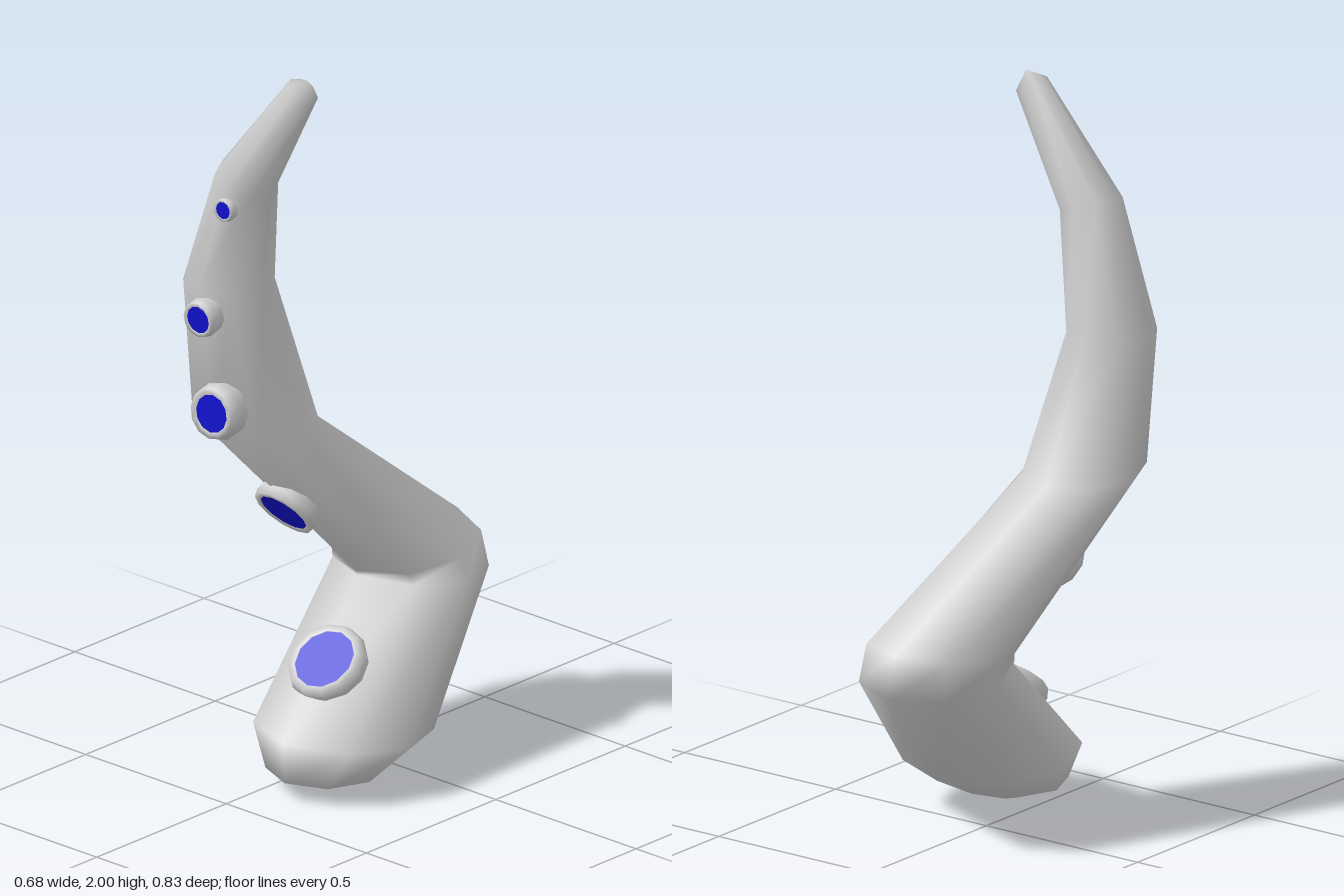
import * as THREE from 'three';

const SIDES = 8;

// Cross-sections from base to tip: centre x, y, z, radius, rise towards +x, rise towards +z
const SECTIONS = [
  [0.10, 0.05, 0.225, 0.157, 0, 0],
  [0.10, 0.145, 0.155, 0.237, 0, 0.02],
  [0.005, 0.475, -0.208, 0.205, 0, 0.022],
  [0.0, 0.54, -0.197, 0.196, 0, -0.03],
  [-0.16, 0.965, 0.212, 0.165, 0, 0.012],
  [-0.225, 1.35, 0.245, 0.12, 0, 0],
  [-0.13, 1.67, 0.28, 0.083, -0.03, -0.01],
  [0.06, 1.965, 0.27, 0.041, -0.025, 0],
];
const BASE_POLE = [0.10, 0, 0.21];
const TIP_POLE = [0.078, 2.0, 0.27];

// Skins the cross-sections into one closed smooth surface
function limbGeometry() {
  const pos = [...BASE_POLE];
  const index = [];
  for (const [x, y, z, r, tiltX, tiltZ] of SECTIONS) {
    for (let i = 0; i < SIDES; i++) {
      const a = (i / SIDES) * Math.PI * 2;
      const c = Math.cos(a), s = Math.sin(a);
      pos.push(x + r * c, y + tiltX * c + tiltZ * s, z + r * s);
    }
  }
  pos.push(...TIP_POLE);
  const at = (ring, i) => 1 + ring * SIDES + (i % SIDES);
  const last = SECTIONS.length - 1;
  const tip = pos.length / 3 - 1;
  for (let i = 0; i < SIDES; i++) {
    index.push(0, at(0, i), at(0, i + 1));
    for (let k = 0; k < last; k++) {
      index.push(at(k, i), at(k + 1, i), at(k, i + 1));
      index.push(at(k, i + 1), at(k + 1, i), at(k + 1, i + 1));
    }
    index.push(tip, at(last, i + 1), at(last, i));
  }
  const geo = new THREE.BufferGeometry();
  geo.setAttribute('position', new THREE.Float32BufferAttribute(pos, 3));
  geo.setIndex(index);
  geo.computeVertexNormals();
  return geo;
}

// Suckers: mouth centre, outward direction, mouth radius, rim radius, height
const SUCKERS = [
  [[0.08, 0.345, 0.208], [0.06, 0.75, 0.66], 0.086, 0.112, 0.06],
  [[-0.085, 0.705, 0.187], [0, -0.62, 0.78], 0.072, 0.094, 0.05],
  [[-0.135, 1.04, 0.412], [0.06, 0.08, 1], 0.053, 0.078, 0.065],
  [[-0.198, 1.283, 0.395], [0.05, -0.04, 1], 0.038, 0.053, 0.05],
  [[-0.13, 1.605, 0.372], [0.05, 0.03, 1], 0.024, 0.033, 0.03],
];

function createSucker([centre, dir, mouth, rim, height], rimMat, mouthMat) {
  const sucker = new THREE.Group();
  sucker.name = 'sucker';

  // Raised rim, turned around its own axis
  const profile = [
    [rim * 0.92, -height], [rim, -height * 0.45], [(rim + mouth) / 2 + rim * 0.05, 0],
    [mouth, 0], [mouth * 0.97, -height * 0.08],
  ].map(([r, h]) => new THREE.Vector2(r, h));
  const rimMesh = new THREE.Mesh(new THREE.LatheGeometry(profile, 12), rimMat);
  rimMesh.name = 'suckerRim';

  // Coloured disc inside the rim
  const disc = new THREE.Mesh(new THREE.CircleGeometry(mouth, 16), mouthMat);
  disc.name = 'suckerMouth';
  disc.rotation.x = -Math.PI / 2;
  disc.position.y = -height * 0.04;

  sucker.add(rimMesh, disc);
  sucker.position.set(...centre);
  sucker.quaternion.setFromUnitVectors(
    new THREE.Vector3(0, 1, 0), new THREE.Vector3(...dir).normalize());
  return sucker;
}

export function createModel() {
  const model = new THREE.Group();
  model.name = 'tentacle';
  const skin = new THREE.MeshStandardMaterial({ color: 0xcccccc });
  const rimMat = new THREE.MeshStandardMaterial({ color: 0xcccccc, side: THREE.DoubleSide });
  const mouthMat = new THREE.MeshStandardMaterial({ color: 0x1010cc });

  const limb = new THREE.Mesh(limbGeometry(), skin);
  limb.name = 'limb';
  model.add(limb);

  for (const spec of SUCKERS) model.add(createSucker(spec, rimMat, mouthMat));
  return model;
}
